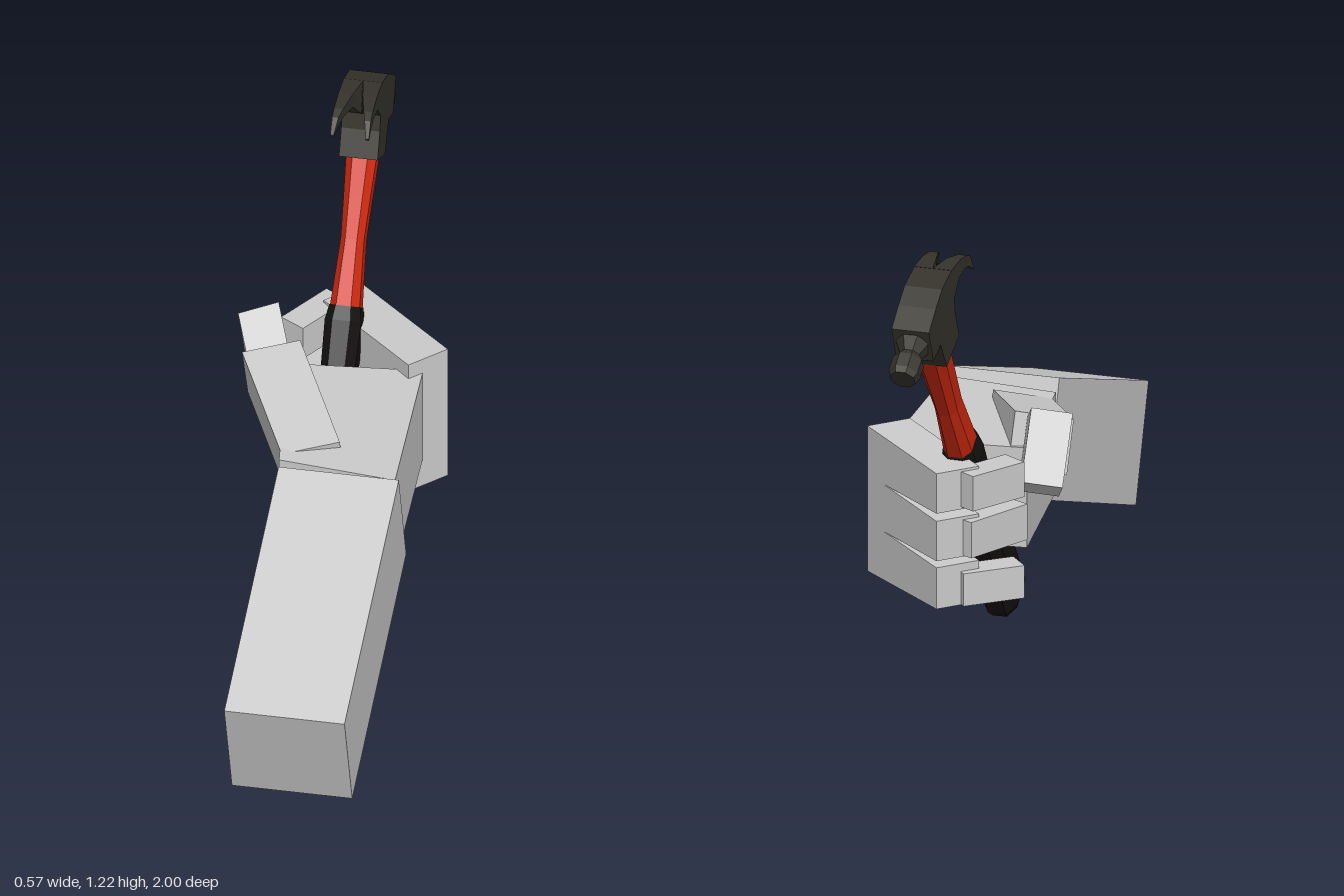
import * as THREE from 'three';

const V = (x, y, z) => new THREE.Vector3(x, y, z);
const paint = (color) => new THREE.MeshStandardMaterial({ color, flatShading: true, roughness: 0.9 });

// Skin rings of equal point count, with flat caps; faces always point outward.
function loft(rings) {
  const n = rings[0].length, tris = [];
  const tri = (a, b, c) => tris.push([a, b, c]);
  for (let r = 0; r < rings.length - 1; r++) {
    for (let i = 0; i < n; i++) {
      const j = (i + 1) % n, p = rings[r], q = rings[r + 1];
      tri(p[i], p[j], q[j]);
      tri(p[i], q[j], q[i]);
    }
  }
  const first = rings[0], last = rings[rings.length - 1];
  for (let i = 1; i < n - 1; i++) {
    tri(first[0], first[i + 1], first[i]);
    tri(last[0], last[i], last[i + 1]);
  }
  const o = first[0];
  let volume = 0;
  for (const [a, b, c] of tris) {
    volume += a.clone().sub(o).dot(b.clone().sub(o).cross(c.clone().sub(o)));
  }
  const pts = tris.flatMap(([a, b, c]) => (volume < 0 ? [a, c, b] : [a, b, c]));
  const g = new THREE.BufferGeometry().setFromPoints(pts);
  g.computeVertexNormals();
  return g;
}

// Skewed box from one corner and three edge vectors.
function block(o, a, b, c) {
  const ring = [o, o.clone().add(a), o.clone().add(a).add(b), o.clone().add(b)];
  return loft([ring, ring.map((p) => p.clone().add(c))]);
}

const extrude = (pts, depth) => new THREE.ExtrudeGeometry(
  new THREE.Shape(pts.map(([x, y]) => new THREE.Vector2(x, y))), { depth, bevelEnabled: false });

// Side outline in (z, y), extruded across x.
const slab = (pts, x0, x1) =>
  extrude(pts.map(([z, y]) => [-z, y]), x1 - x0).rotateY(Math.PI / 2).translate(x0, 0, 0);

// Plan outline in (x, z), extruded upward.
const plan = (pts, y0, y1) =>
  extrude(pts.map(([x, z]) => [x, -z]), y1 - y0).rotateX(-Math.PI / 2).translate(0, y0, 0);

// Octagonal ring: chamfered rectangle at height y.
function octagon(y, hx, hz) {
  const k = 0.5;
  return [[1, -k], [1, k], [k, 1], [-k, 1], [-1, k], [-1, -k], [-k, -1], [k, -1]]
    .map(([x, z]) => V(x * hx, y, z * hz));
}

export function createModel() {
  const model = new THREE.Group();
  const grey = paint(0xcccccc), red = paint(0xd02a10), black = paint(0x151111), iron = paint(0x35332b);
  const add = (name, geometry, material, parent = model) => {
    const mesh = new THREE.Mesh(geometry, material);
    mesh.name = name;
    parent.add(mesh);
    return mesh;
  };

  // Arm and palm
  add('forearm', slab([[1, 0.32], [0.89, 0], [0.12, 0.275], [0.225, 0.59]], -0.07, 0.26), grey);
  add('palm', plan([[-0.08, 0.165], [0.245, 0.2], [0.222, -0.32], [-0.145, -0.285]], 0.285, 0.57), grey);

  // Knuckle block, slotted into three fingers
  const knuckles = add('knuckles', extrude([
    [0, 0.2], [0.396, 0.215], [0.396, 0.333], [0.09, 0.342], [0.396, 0.352],
    [0.396, 0.466], [0.09, 0.477], [0.396, 0.488], [0.396, 0.602], [0, 0.615],
  ], 0.13), grey);
  knuckles.position.set(0.19, 0, -0.275);
  knuckles.rotation.y = 2.376;

  // Fingertips: outer start corner, outer end corner (x, z), bottom and top
  const tips = [
    ['lowerFingertip', [-0.07, -0.605], [-0.205, -0.49], 0.217, 0.31],
    ['middleFingertip', [-0.09, -0.6], [-0.187, -0.41], 0.355, 0.457],
    ['upperFingertip', [-0.1, -0.615], [-0.195, -0.46], 0.495, 0.595],
  ];
  for (const [name, s, e, y0, y1] of tips) {
    const along = V(e[0] - s[0], 0, e[1] - s[1]);
    const across = V(-along.z, 0, along.x).normalize().multiplyScalar(-0.08);
    if (across.x < 0) across.negate();
    add(name, block(V(s[0], y0, s[1]), along, across, V(0, y1 - y0, 0)), grey);
  }

  // Thumb
  add('thumbBase', block(V(-0.08, 0.565, 0.13), V(0.15, 0.025, -0.05),
    V(-0.175, 0.075, -0.345), V(0.01, -0.15, -0.03)), grey);
  add('thumbTip', block(V(-0.285, 0.695, -0.315), V(0.103, 0.02, -0.045),
    V(0.045, -0.065, 0.105), V(0, -0.183, -0.09)), grey);

  // Hammer handle, built upright then tilted
  const handle = new THREE.Group();
  handle.name = 'hammerHandle';
  handle.position.set(-0.02, 0.065, -0.083);
  handle.rotation.x = -0.608;
  model.add(handle);
  add('grip', loft([
    octagon(0, 0.04, 0.068), octagon(0.03, 0.05, 0.08), octagon(0.2, 0.05, 0.072),
    octagon(0.45, 0.045, 0.06), octagon(0.66, 0.05, 0.064), octagon(0.7, 0.042, 0.056),
  ]), black, handle);
  add('shaft', loft([
    octagon(0.69, 0.041, 0.053), octagon(0.88, 0.032, 0.044),
    octagon(1.0, 0.037, 0.045), octagon(1.15, 0.044, 0.047),
  ]), red, handle);

  // Hammer head
  const head = new THREE.Group();
  head.name = 'hammerHead';
  head.position.x = -0.02;
  model.add(head);
  const W = 0.053;
  add('headBody', slab([
    [-0.717, 1.217], [-0.802, 1.19], [-0.856, 1.152], [-0.915, 1.104], [-0.877, 1.01],
    [-0.813, 1.035], [-0.76, 0.955], [-0.652, 1.008], [-0.685, 1.08], [-0.695, 1.126],
  ], -W, W), iron, head);

  // Striking face on a short neck
  const face = add('strikingFace', new THREE.LatheGeometry([
    [0, 0], [0.052, 0], [0.03, 0.035], [0.044, 0.055], [0.044, 0.098], [0.036, 0.115], [0, 0.115],
  ].map(([r, y]) => new THREE.Vector2(r, y)), 8, Math.PI / 8), iron, head);
  face.position.set(0, 1.053, -0.886);
  face.quaternion.setFromUnitVectors(V(0, 1, 0), V(0, -0.571, -0.821));

  // Claw: top (z, y), underside (z, y), inner half width
  const claw = [
    [-0.72, 1.217, -0.695, 1.126, 0], [-0.642, 1.222, -0.652, 1.174, 0.014],
    [-0.583, 1.214, -0.594, 1.183, 0.028], [-0.555, 1.203, -0.56, 1.175, 0.036],
    [-0.528, 1.163, -0.53, 1.156, 0.044],
  ];
  for (const side of [1, -1]) {
    add(side > 0 ? 'clawLeft' : 'clawRight', loft(claw.map(([tz, ty, bz, by, inner]) => [
      V(side * inner, ty, tz), V(side * W, ty, tz), V(side * W, by, bz), V(side * inner, by, bz),
    ])), iron, head);
  }

  return model;
}
